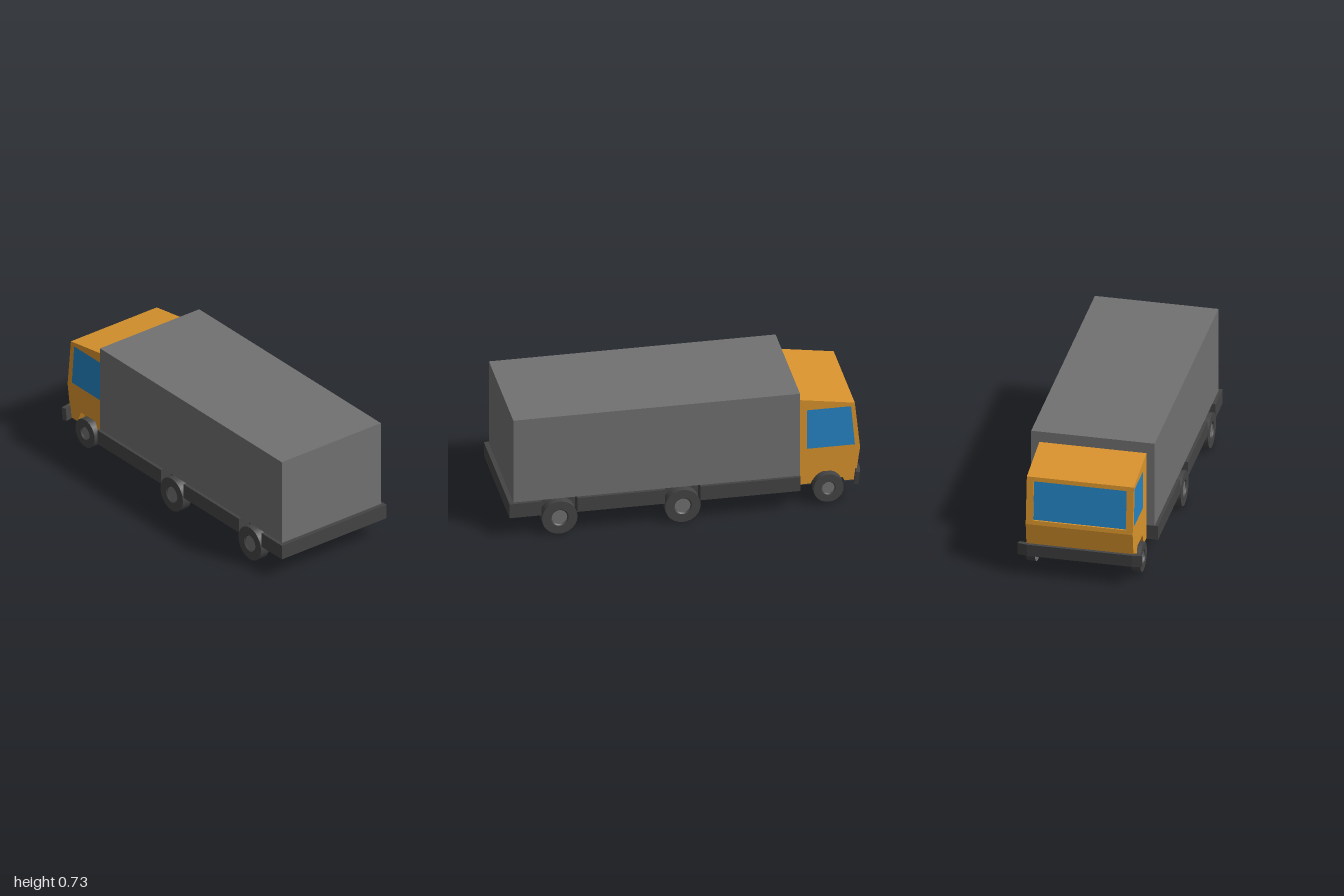
import * as THREE from 'three';

const material = (name, color) => {
  const m = new THREE.MeshStandardMaterial({ color });
  m.name = name;
  return m;
};

export function createModel() {
  const orange = material('cab orange', 0xd9932d);
  const grey = material('body grey', 0x717171);
  const dark = material('chassis dark grey', 0x444444);
  const blue = material('glass blue', 0x2484c4);
  const truck = new THREE.Group();
  truck.name = 'boxTruck';

  const add = (name, geometry, mat, parent = truck) => {
    const mesh = new THREE.Mesh(geometry, mat);
    mesh.name = name;
    parent.add(mesh);
    return mesh;
  };
  // Box given by its limits on each axis
  const box = (name, x0, x1, y0, y1, z0, z1, mat, parent) =>
    add(name, new THREE.BoxGeometry(x1 - x0, y1 - y0, z1 - z0)
      .translate((x0 + x1) / 2, (y0 + y1) / 2, (z0 + z1) / 2), mat, parent);
  const shape = (points) => new THREE.Shape(points.map(([x, y]) => new THREE.Vector2(x, y)));
  // Side profile extruded from z0 to z1
  const prism = (name, points, z0, z1, mat, parent, hole) => {
    const s = shape(points);
    if (hole) s.holes.push(shape(hole));
    const g = new THREE.ExtrudeGeometry(s, { depth: z1 - z0, bevelEnabled: false });
    return add(name, g.translate(0, 0, z0), mat, parent);
  };

  // Cargo body and chassis
  box('cargoBox', -0.65, 0.975, 0.212, 0.73, -0.352, 0.352, grey);
  box('chassis', -0.65, 1, 0.125, 0.212, -0.3, 0.3, dark);

  // Cab: recessed windscreen in the middle, layered sides around it
  const cab = new THREE.Group();
  cab.name = 'cab';
  truck.add(cab);
  const upper = [[-1, 0.33], [-0.97, 0.615], [-0.65, 0.665], [-0.65, 0.13]];
  const sideProfile = [[-0.97, 0.13], ...upper,
    [-0.72, 0.13], [-0.75, 0.2], [-0.88, 0.2], [-0.91, 0.13]];
  const coreProfile = [[-0.97, 0.13], [-1, 0.33], [-0.997, 0.355], [-0.983, 0.355],
    [-0.959, 0.59], [-0.973, 0.59], ...upper.slice(1)];
  const sideWindow = [[-0.972, 0.347], [-0.95, 0.595], [-0.7, 0.595], [-0.7, 0.347]];

  prism('cabCore', coreProfile, -0.265, 0.265, orange, cab);
  prism('windscreen', [[-0.987, 0.355], [-0.983, 0.355], [-0.959, 0.59], [-0.963, 0.59]],
    -0.265, 0.265, blue, cab);
  box('cabFloor', -0.968, -0.65, 0.125, 0.131, -0.265, 0.265, dark, cab);

  // Wheel with a dished outer face and a plain inner disc
  const wheel = (name, x, r, hubR, zIn, zOut, side) => {
    const group = new THREE.Group();
    group.name = name;
    const w = zOut - zIn;
    const tyreProfile = [[r, 0], [r, w], [hubR * 1.15, w], [hubR, w - 0.008]]
      .map(([a, b]) => new THREE.Vector2(a, b));
    // Separate rings keep the edges crisp
    for (let i = 0; i < 3; i++) {
      const ring = new THREE.LatheGeometry([tyreProfile[i], tyreProfile[i + 1]], 24);
      add('tyre', ring.rotateX(Math.PI / 2), dark, group);
    }
    add('hub', new THREE.CircleGeometry(hubR, 24).translate(0, 0, w - 0.008), grey, group);
    add('innerDisc', new THREE.CircleGeometry(r, 24).rotateY(Math.PI), grey, group);
    group.position.set(x, r + (r < 0.1 ? 0.015 : 0), side * zIn);
    if (side < 0) group.rotation.y = Math.PI;
    truck.add(group);
  };

  for (const side of [1, -1]) {
    const label = side > 0 ? 'left' : 'right';
    const span = (a, b) => (side > 0 ? [a, b] : [-b, -a]);

    // Cab sides with wheel arch and inset window
    prism(label + 'CabSide', sideProfile, ...span(0.265, 0.293), orange, cab);
    prism(label + 'CabPanel', sideProfile, ...span(0.293, 0.305), orange, cab, sideWindow);
    prism(label + 'SideWindow', sideWindow, ...span(0.293, 0.297), blue, cab);
    for (const [x0, x1] of [[-0.968, -0.91], [-0.72, -0.65]])
      box(label + 'Sill', x0, x1, 0.125, 0.131, ...span(0.265, 0.304), dark, cab);

    // Chassis skirts with gaps for the wheels
    for (const [x0, x1] of [[-0.65, -0.083], [0.12, 0.615], [0.818, 1]])
      box(label + 'Skirt', x0, x1, 0.125, 0.212, ...span(0.3, 0.371), dark);

    wheel(label + 'FrontWheel', -0.817, 0.086, 0.035, 0.275, 0.326, side);
    wheel(label + 'MiddleWheel', 0.018, 0.101, 0.044, 0.316, 0.374, side);
    wheel(label + 'RearWheel', 0.716, 0.101, 0.044, 0.316, 0.374, side);
  }

  // Bumper with swept ends, leaning with the cab nose
  const plan = [[-1, -0.3], [-0.99, -0.355], [-0.966, -0.345], [-0.975, -0.29],
    [-0.975, 0.29], [-0.966, 0.345], [-0.99, 0.355], [-1, 0.3]];
  const bumper = new THREE.ExtrudeGeometry(shape(plan), { depth: 0.075, bevelEnabled: false })
    .rotateX(-Math.PI / 2).translate(0, 0.125, 0);
  const p = bumper.attributes.position;
  for (let i = 0; i < p.count; i++) p.setX(i, p.getX(i) + (0.2 - p.getY(i)) * 0.12);
  bumper.computeVertexNormals();
  add('bumper', bumper, dark);

  return truck;
}
